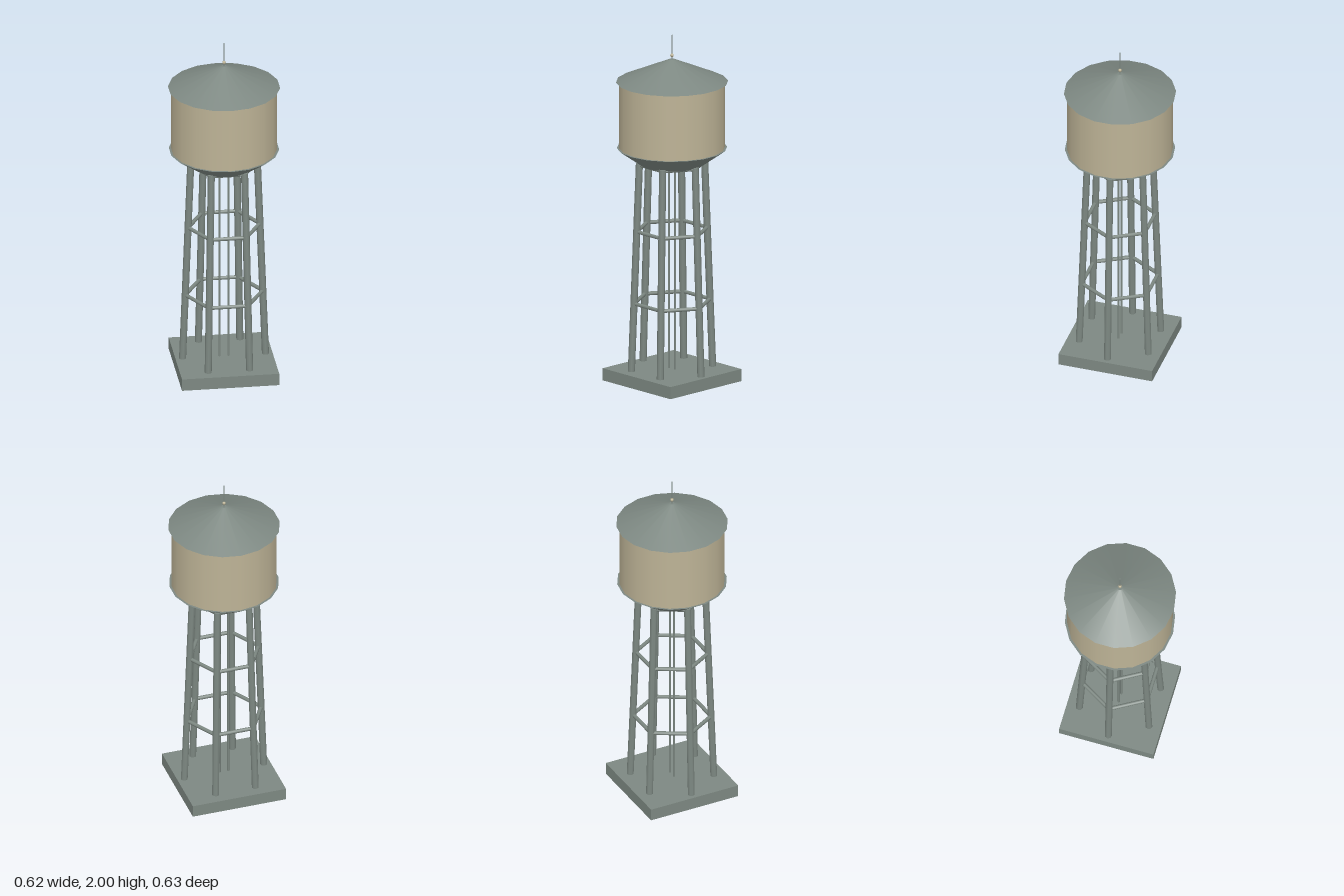
import * as THREE from 'three';

export function createModel() {
  const model = new THREE.Group();
  model.name = 'waterTower';

  const steel = new THREE.MeshStandardMaterial({ color: 0x7d8882 });
  steel.name = 'grey green steel';
  const cream = new THREE.MeshStandardMaterial({ color: 0xbdb396 });
  cream.name = 'cream paint';

  const add = (name, geometry, material, y = 0, parent = model) => {
    const mesh = new THREE.Mesh(geometry, material);
    mesh.name = name;
    mesh.position.y = y;
    parent.add(mesh);
    return mesh;
  };

  // Round bar running between two points
  const UP = new THREE.Vector3(0, 1, 0);
  const bar = (name, a, b, radius, parent) => {
    const dir = b.clone().sub(a);
    const mesh = add(name, new THREE.CylinderGeometry(radius, radius, dir.length(), 8), steel, 0, parent);
    mesh.position.copy(a).add(b).multiplyScalar(0.5);
    mesh.quaternion.setFromUnitVectors(UP, dir.normalize());
  };

  // Point on one of the six sloping legs at a given height
  const BASE_Y = 0.07, TOP_Y = 1.27;
  const legPoint = (i, y) => {
    const r = THREE.MathUtils.mapLinear(y, BASE_Y, TOP_Y, 0.233, 0.187);
    const a = (i * Math.PI) / 3;
    return new THREE.Vector3(r * Math.cos(a), y, r * Math.sin(a));
  };

  // Foundation slab
  add('foundation', new THREE.BoxGeometry(0.547, BASE_Y, 0.547), steel, BASE_Y / 2);

  // Legs and the rings of braces between them
  const frame = new THREE.Group();
  frame.name = 'supportFrame';
  model.add(frame);
  for (let i = 0; i < 6; i++) {
    bar('leg', legPoint(i, BASE_Y - 0.01), legPoint(i, TOP_Y), 0.02, frame);
    for (const y of [0.46, 0.875, 1.26]) {
      bar('brace', legPoint(i, y), legPoint(i + 1, y), 0.011, frame);
    }
  }

  // Pair of thin riser pipes in the middle
  for (const side of [-1, 1]) {
    bar('riserPipe', new THREE.Vector3(side * 0.025, BASE_Y - 0.01, 0),
      new THREE.Vector3(side * 0.025, 1.27, 0), 0.006, model);
  }

  // Tank: tapered bottom, drum and conical roof, all 18-sided
  add('tankBottom', new THREE.CylinderGeometry(0.308, 0.178, 0.093, 18), steel, 1.3035);
  add('tankDrum', new THREE.CylinderGeometry(0.296, 0.296, 0.385, 18), cream, 1.54);
  add('roof', new THREE.CylinderGeometry(0.015, 0.313, 0.13, 18), steel, 1.795);

  // Finial and mast
  add('mast', new THREE.CylinderGeometry(0.003, 0.003, 0.145, 6), steel, 1.9275);
  add('finialBall', new THREE.SphereGeometry(0.01, 10, 8), cream, 1.882);

  return model;
}
